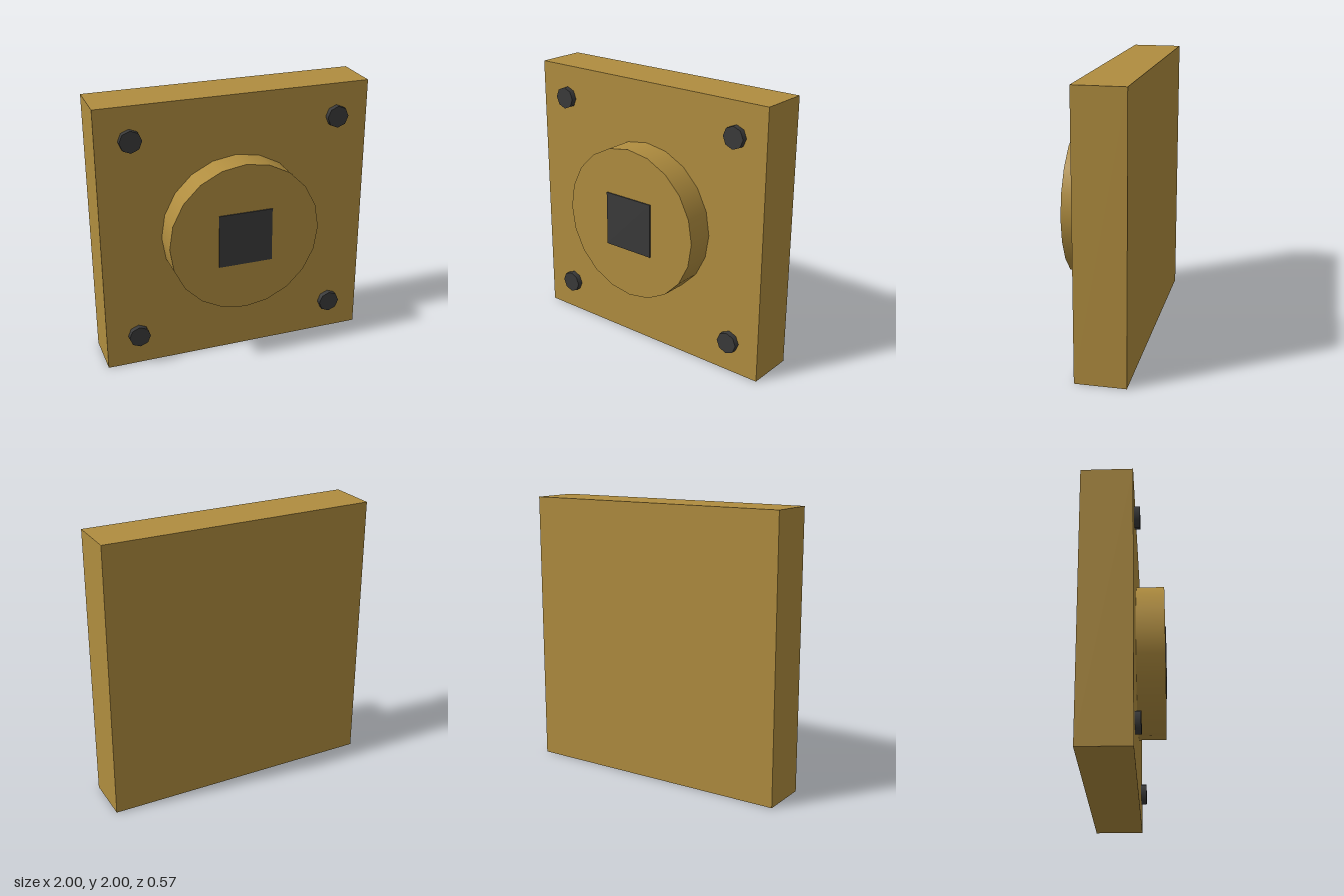
import * as THREE from 'three';

export function createModel() {
  const group = new THREE.Group();
  const brass = new THREE.MeshStandardMaterial({ name: 'brass', color: 0xb08d3f });
  const dark = new THREE.MeshStandardMaterial({ name: 'dark grey', color: 0x3a3a3a });

  const add = (name, geometry, material, x, y, z) => {
    const mesh = new THREE.Mesh(geometry, material);
    mesh.name = name;
    mesh.position.set(x, y, z);
    group.add(mesh);
  };
  // Cylinder lying along z
  const disc = (radius, depth, sides) =>
    new THREE.CylinderGeometry(radius, radius, depth, sides).rotateX(Math.PI / 2);

  // Square backing plate
  const plateFront = 0.076;
  add('plate', new THREE.BoxGeometry(2, 2, 0.36), brass, 0, 1, plateFront - 0.18);

  // Raised round boss with a thin square inlay
  add('boss', disc(0.56, 0.2, 20), brass, 0, 1, plateFront + 0.1);
  add('inlay', new THREE.BoxGeometry(0.4, 0.4, 0.008), dark, 0, 1, plateFront + 0.204);

  // Corner bolts
  const boltGeometry = disc(0.08, 0.04, 8);
  for (const x of [-0.76, 0.76])
    for (const y of [0.24, 1.76]) add('bolt', boltGeometry, dark, x, y, plateFront + 0.02);

  return group;
}
